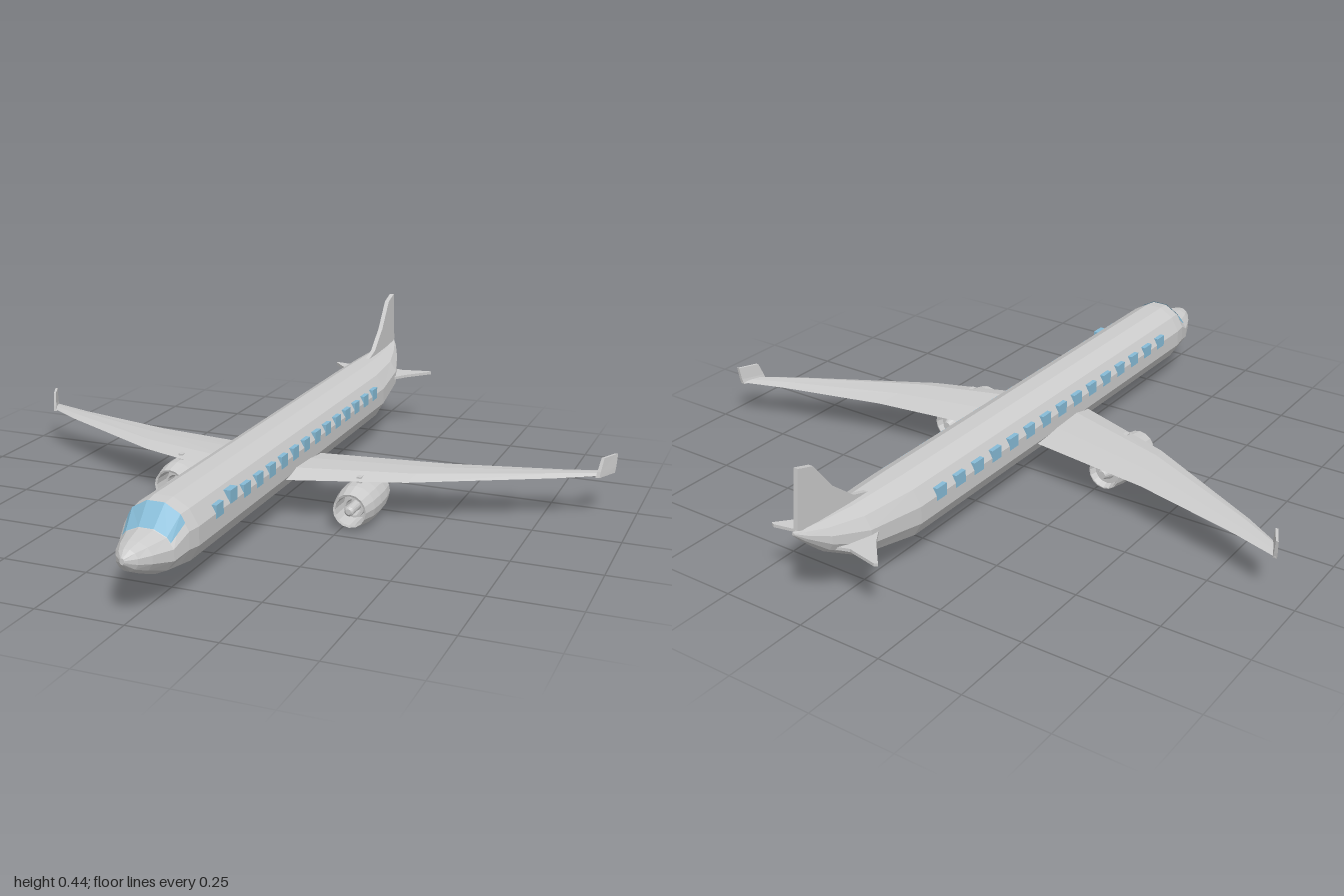
import * as THREE from 'three';

const grey = new THREE.MeshStandardMaterial({ color: 0xcccccc, flatShading: true, side: THREE.DoubleSide });
const blue = new THREE.MeshStandardMaterial({ color: 0x86bbd6, flatShading: true, side: THREE.DoubleSide });

// Skin a list of equal-length rings; closed rings are capped at both ends.
function loft(rings, closed = true) {
  const n = rings[0].length, pos = rings.flat(2), idx = [];
  for (let r = 0; r < rings.length - 1; r++) {
    for (let i = 0; i < (closed ? n : n - 1); i++) {
      const a = r * n + i, b = r * n + (i + 1) % n;
      idx.push(a, b, b + n, a, b + n, a + n);
    }
  }
  if (closed) {
    const last = (rings.length - 1) * n;
    for (let i = 1; i < n - 1; i++) idx.push(0, i + 1, i, last, last + i, last + i + 1);
  }
  // turn the faces outward if the rings ran the other way
  const v = (k) => new THREE.Vector3().fromArray(pos, idx[k] * 3);
  let volume = 0;
  for (let k = 0; k < idx.length; k += 3) volume += v(k).dot(v(k + 1).cross(v(k + 2)));
  if (volume < 0) idx.reverse();
  const g = new THREE.BufferGeometry();
  g.setAttribute('position', new THREE.Float32BufferAttribute(pos, 3));
  g.setIndex(idx);
  g.computeVertexNormals();
  return g;
}

function add(parent, name, geometry, material = grey) {
  const mesh = new THREE.Mesh(geometry, material);
  mesh.name = name;
  parent.add(mesh);
  return mesh;
}

// Twelve-sided fuselage section: z, half width, bottom, top.
const K = 1 / Math.cos(Math.PI / 12);
function section([z, w, bottom, top], degrees, grow = 0) {
  const mid = (bottom + top) / 2, h = (top - bottom) / 2;
  return degrees.map((d) => {
    const a = THREE.MathUtils.degToRad(d);
    const k = d % 30 === 0 ? 1 : K; // corners lie further out than side middles
    return [Math.cos(a) * k * (w + grow), mid + Math.sin(a) * k * (h + grow), z];
  });
}

const SECTIONS = [
  [1.0, 0.006, 0.155, 0.172],
  [0.975, 0.03, 0.13, 0.186],
  [0.94, 0.05, 0.113, 0.194],
  [0.877, 0.075, 0.088, 0.203],
  [0.822, 0.089, 0.077, 0.254],
  [0.78, 0.095, 0.07, 0.258],
  [-0.62, 0.095, 0.07, 0.258],
  [-0.8, 0.078, 0.11, 0.258],
  [-0.91, 0.045, 0.175, 0.262],
  [-0.97, 0.02, 0.23, 0.267],
  [-1.0, 0.003, 0.262, 0.271],
];

// Wing section: leading edge x,z; trailing edge x,z; underside y; thickness.
function airfoil([xl, zl, xt, zt, y, t]) {
  const outline = [[0, 0.45], [0.25, 1], [0.65, 0.85], [1, 0.4], [0.65, 0], [0.25, 0]];
  return outline.map(([c, u]) => [xl + (xt - xl) * c, y + t * u, zl + (zt - zl) * c]);
}

// Thin plate from a 2D outline, centred on its thickness.
function plate(points, thickness) {
  const shape = new THREE.Shape(points.map(([a, b]) => new THREE.Vector2(a, b)));
  return new THREE.ExtrudeGeometry(shape, { depth: thickness, bevelEnabled: false })
    .translate(0, 0, -thickness / 2);
}

// Turned part along z from [radius, z] points.
function turned(points) {
  return new THREE.LatheGeometry(points.map(([r, z]) => new THREE.Vector2(r, z)), 16).rotateX(Math.PI / 2);
}

function createEngine() {
  const engine = new THREE.Group();
  engine.name = 'engine';
  add(engine, 'nacelle', turned([
    [0, 0.02], [0.04, 0.02], [0.046, 0], [0.049, 0], [0.058, 0.05], [0.061, 0.11],
    [0.059, 0.16], [0.049, 0.21], [0.043, 0.208], [0.041, 0.14], [0, 0.14],
  ]));
  add(engine, 'fanRing', turned([[0.03, 0.14], [0.03, 0.175], [0.024, 0.175], [0.02, 0.14]]));
  add(engine, 'spinner', turned([[0.014, 0.14], [0.014, 0.212], [0.008, 0.217], [0, 0.217]]));
  add(engine, 'exhaustCone', turned([[0, -0.012], [0.012, -0.012], [0.025, 0.02]]));
  add(engine, 'pylon', new THREE.BoxGeometry(0.014, 0.03, 0.12)).position.set(0, 0.062, 0.075);
  engine.position.set(0.28, 0.062, 0);
  return engine;
}

// Everything on the left; the right side mirrors it.
function createSide(name) {
  const side = new THREE.Group();
  side.name = name;

  add(side, 'wing', loft([
    [0, 0.25, 0, -0.05, 0.118, 0.032],
    [0.09, 0.217, 0.09, -0.06, 0.118, 0.03],
    [0.41, 0.105, 0.465, -0.11, 0.12, 0.022],
    [0.79, -0.1, 0.79, -0.19, 0.122, 0.015],
    [0.895, -0.167, 0.93, -0.235, 0.124, 0.01],
  ].map(airfoil)));

  // upright plate on the wing tip
  const tip = (y, xl, zl, xt, zt, t) => [[xl - t, y, zl], [xl, y, zl], [xt, y, zt], [xt - t, y, zt]];
  add(side, 'winglet', loft([
    tip(0.123, 0.9, -0.165, 0.932, -0.232, 0.012),
    tip(0.14, 0.902, -0.169, 0.934, -0.235, 0.01),
    tip(0.179, 0.908, -0.182, 0.936, -0.24, 0.008),
  ]));

  add(side, 'tailplane', plate(
    [[0.02, 0.72], [0.072, 0.765], [0.108, 0.82], [0.175, 0.895], [0.165, 0.9], [0.075, 0.882], [0.02, 0.9]],
    0.009,
  ).rotateX(-Math.PI / 2)).position.y = 0.185;

  side.add(createEngine());

  // cabin windows
  for (let i = 0; i < 15; i++) {
    const raised = name === 'leftSide' && i === 1 ? 0.012 : 0;
    add(side, 'cabinWindow', new THREE.BoxGeometry(0.02, 0.036, 0.043), blue)
      .position.set(0.086, 0.193 + raised, 0.66 - i * 0.085);
  }
  return side;
}

export function createModel() {
  const plane = new THREE.Group();
  plane.name = 'airliner';

  const around = Array.from({ length: 12 }, (_, i) => 15 + i * 30);
  add(plane, 'fuselage', loft(SECTIONS.map((s) => section(s, around))));

  // windscreen wrapped over the step behind the nose
  const over = [30, 45, 75, 105, 135, 150];
  add(plane, 'windscreen', loft([SECTIONS[3], SECTIONS[4]].map((s) => section(s, over, 0.002)), false), blue);

  add(plane, 'tailFin', plate(
    [[0.7, 0.25], [0.78, 0.274], [0.855, 0.335], [0.92, 0.42], [0.973, 0.436], [0.99, 0.272], [0.93, 0.25]],
    0.014,
  ).rotateY(Math.PI / 2));

  const right = createSide('rightSide');
  right.scale.x = -1;
  plane.add(createSide('leftSide'), right);
  return plane;
}
